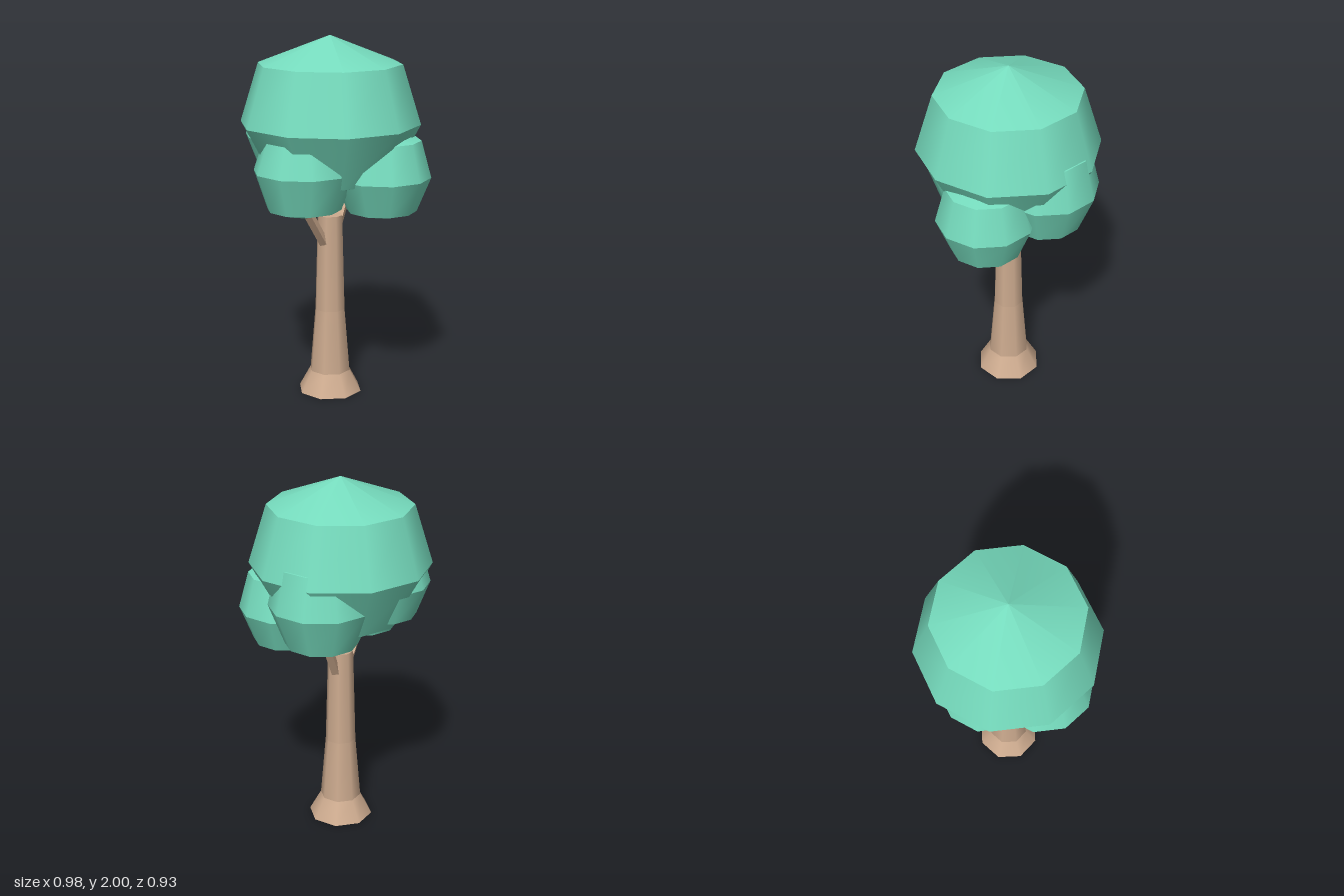
import * as THREE from 'three';
import { mergeGeometries } from 'three/addons/utils/BufferGeometryUtils.js';

// Stack of open conical bands, smooth around and sharp between bands; profile is [radius, y] upwards
function bands(profile, sides, thetaStart) {
  const parts = [];
  for (let i = 0; i < profile.length - 1; i++) {
    const [r0, y0] = profile[i];
    const [r1, y1] = profile[i + 1];
    const g = new THREE.CylinderGeometry(r1, r0, y1 - y0, sides, 1, true, thetaStart);
    g.translate(0, (y0 + y1) / 2, 0);
    parts.push(g);
  }
  return mergeGeometries(parts);
}

export function createModel() {
  const tree = new THREE.Group();
  tree.name = 'tree';
  const bark = new THREE.MeshStandardMaterial({ color: 0xcdab8f });
  bark.name = 'bark';
  const leaf = new THREE.MeshStandardMaterial({ color: 0x76dcbe });
  leaf.name = 'leaf';

  const add = (name, geometry, material) => {
    const mesh = new THREE.Mesh(geometry, material);
    mesh.name = name;
    tree.add(mesh);
    return mesh;
  };

  // Trunk with a flared foot and closed ends
  add('trunk', bands([[0, 0], [0.18, 0], [0.115, 0.12], [0.085, 0.48], [0.07, 1.02], [0, 1.02]], 8, 0), bark);

  // Branches reaching into the leaf clumps
  const branches = [
    ['leftBranch', [0.05, 0.91, -0.025], [0.17, 1.16, -0.09]],
    ['rightBranch', [-0.05, 0.87, 0.025], [-0.2, 1.1, 0.09]],
  ];
  for (const [name, from, to] of branches) {
    const a = new THREE.Vector3(...from);
    const b = new THREE.Vector3(...to);
    const dir = b.clone().sub(a);
    const g = new THREE.CylinderGeometry(0.028, 0.028, dir.length(), 4).toNonIndexed();
    g.computeVertexNormals();
    const branch = add(name, g, bark);
    branch.position.copy(a).add(b).multiplyScalar(0.5);
    branch.quaternion.setFromUnitVectors(new THREE.Vector3(0, 1, 0), dir.normalize());
  }

  // Leaf clumps: name, x, z, then profile from bottom tip to top tip
  const clumps = [
    ['mainCanopy', 0, 0, [[0, 1.14], [0.33, 1.23], [0.49, 1.53], [0.39, 1.85], [0, 2]]],
    ['frontRightClump', -0.21, 0.1, [[0, 1.045], [0.2, 1.1], [0.27, 1.305], [0.21, 1.485], [0, 1.56]]],
    ['frontLeftClump', 0.2, 0.215, [[0, 1.02], [0.19, 1.07], [0.265, 1.255], [0.21, 1.455], [0, 1.51]]],
    ['backLeftClump', 0.21, -0.12, [[0, 1.1], [0.195, 1.16], [0.28, 1.375], [0.225, 1.6], [0, 1.65]]],
    ['backRightClump', -0.145, -0.185, [[0, 1.22], [0.18, 1.27], [0.25, 1.45], [0.2, 1.62], [0, 1.68]]],
  ];
  for (const [name, x, z, profile] of clumps) {
    add(name, bands(profile, 10, Math.PI / 2), leaf).position.set(x, 0, z);
  }
  return tree;
}
